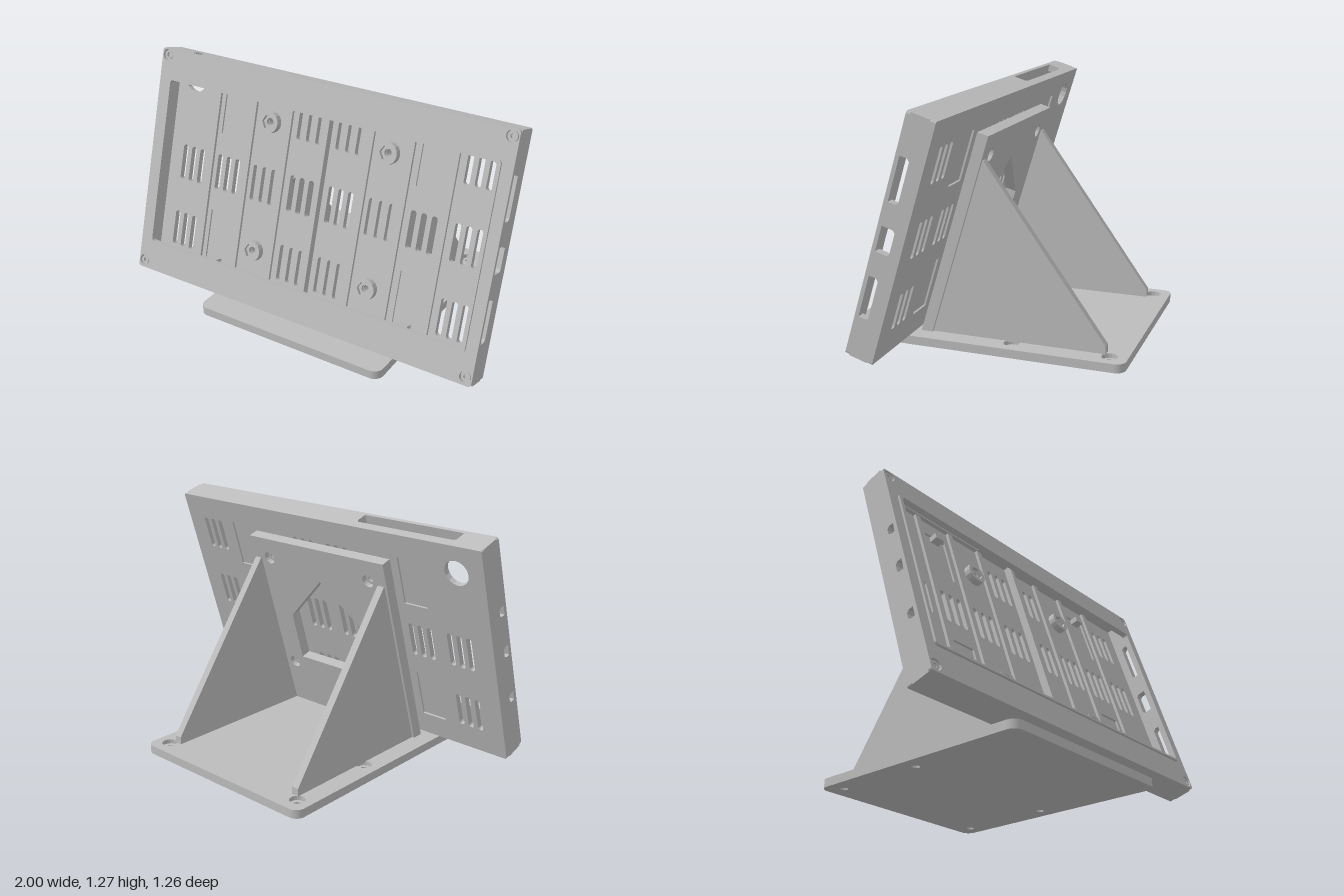
import * as THREE from 'three';

const grey = new THREE.MeshStandardMaterial({ color: 0xbbbbbb });
grey.name = 'grey plastic';

const TILT = 0.301;      // backward lean of the case
const H = 1.204;         // case height along its own plane
const BACK = 0.03;       // back plate thickness
const SEAM = 0.123;      // where the side walls meet the front frame
const FRONT = 0.143;     // front face of the frame
const WALL = 0.04;

function add(parent, name, geometry, x = 0, y = 0, z = 0) {
  const mesh = new THREE.Mesh(geometry, grey);
  mesh.name = name;
  mesh.position.set(x, y, z);
  parent.add(mesh);
  return mesh;
}

// Rounded rectangle outline between two corners
function roundRect(x0, y0, x1, y1, r, Type = THREE.Path) {
  const p = new Type();
  p.moveTo(x0 + r, y0);
  p.lineTo(x1 - r, y0);
  p.absarc(x1 - r, y0 + r, r, -Math.PI / 2, 0);
  p.lineTo(x1, y1 - r);
  p.absarc(x1 - r, y1 - r, r, 0, Math.PI / 2);
  p.lineTo(x0 + r, y1);
  p.absarc(x0 + r, y1 - r, r, Math.PI / 2, Math.PI);
  p.lineTo(x0, y0 + r);
  p.absarc(x0 + r, y0 + r, r, Math.PI, Math.PI * 1.5);
  return p;
}

function circle(x, y, r, Type = THREE.Path) {
  return new Type().absarc(x, y, r, 0, Math.PI * 2);
}

function polygon(points, Type = THREE.Path) {
  return new Type(points.map(([x, y]) => new THREE.Vector2(x, y)));
}

function hexagon(x, y, r) {
  return polygon([0, 1, 2, 3, 4, 5].map((i) => [
    x + r * Math.cos(i * Math.PI / 3), y + r * Math.sin(i * Math.PI / 3)]));
}

function slab(shape, depth, holes = []) {
  shape.holes.push(...holes);
  return new THREE.ExtrudeGeometry(shape, { depth, bevelEnabled: false, curveSegments: 8 });
}

// Wall strip with port notches [start, end, floor] cut in from the front edge
function wall(a, b, notches) {
  const c = 0.012;
  const pts = [[a, BACK], [b, BACK], [b, SEAM]];
  for (const [s, e, f] of notches) {
    pts.push([e, SEAM], [e, f + c], [e - c, f], [s + c, f], [s, f + c], [s, SEAM]);
  }
  pts.push([a, SEAM]);
  return slab(polygon(pts, THREE.Shape), WALL);
}

const bosses = [];
for (const x of [-0.342, 0.342]) for (const y of [0.255, 0.94]) bosses.push([x, y]);

function buildCase() {
  const g = new THREE.Group();
  g.name = 'case';

  // Back plate: vent slots, latch pockets, cable hole and screw holes
  const rows = [[0.14, 0.33], [0.51, 0.70], [0.884, 1.07]];
  const columns = [
    [-0.808, [0, 1]], [-0.575, [1]], [-0.345, [1]], [-0.115, [0, 1, 2]],
    [0.115, [0, 1, 2]], [0.345, [1]], [0.575, [1]], [0.808, [0, 1, 2]],
  ];
  const holes = [circle(-0.847, 1.06, 0.067)];
  for (const [x, used] of columns) {
    for (const r of used) {
      for (const dx of [-0.056, 0, 0.056]) {
        holes.push(roundRect(x + dx - 0.015, rows[r][0], x + dx + 0.015, rows[r][1], 0.0145));
      }
    }
  }
  for (const [x, y] of bosses) holes.push(circle(x, y, 0.018));
  for (const x of [-0.575, 0.575]) {
    for (const [y0, y1, tab] of [[0.13, 0.395, 0.13], [0.817, 1.08, 1.06]]) {
      holes.push(polygon([[x - 0.07, y0], [x + 0.07, y0], [x + 0.07, y1], [x - 0.07, y1]]));
      add(g, 'latchPocketFloor', new THREE.BoxGeometry(0.14, y1 - y0, 0.01), x, (y0 + y1) / 2, 0.015);
      add(g, 'latchTab', new THREE.BoxGeometry(0.055, 0.03, 0.045), x, tab, 0.04);
    }
  }
  add(g, 'backPlate', slab(roundRect(-1, 0, 1, H, 0.01, THREE.Shape), BACK, holes));

  // Low ribs between the columns and a taller one in the middle
  for (const x of [0.235, 0.455, 0.685]) {
    for (const s of [-1, 1]) {
      add(g, 'rib', new THREE.BoxGeometry(0.032, H - 2 * WALL, 0.015), s * x, H / 2, BACK + 0.0075);
    }
  }
  add(g, 'centreRib', new THREE.BoxGeometry(0.026, H - 2 * WALL, 0.04), 0, H / 2, BACK + 0.02);

  // Four walls with their port openings
  const X = new THREE.Vector3(1, 0, 0), Y = new THREE.Vector3(0, 1, 0), Z = new THREE.Vector3(0, 0, 1);
  const flat = new THREE.Matrix4().makeBasis(X, Z, Y.clone().negate());
  const upright = new THREE.Matrix4().makeBasis(Y, Z, X);
  const inner = 1 - WALL;
  add(g, 'bottomWall', wall(-inner, inner, []).applyMatrix4(flat), 0, WALL, 0);
  add(g, 'topWall', wall(-inner, inner, [[-0.83, -0.24, 0.05]].reverse()).applyMatrix4(flat), 0, H, 0);
  add(g, 'leftWall', wall(0, H, [[0.785, 1.004, 0.073], [0.541, 0.668, 0.054], [0.206, 0.418, 0.074]])
    .applyMatrix4(upright), inner, 0, 0);
  add(g, 'rightWall', wall(0, H, [[0.8, 0.85, 0.085], [0.57, 0.63, 0.085], [0.3, 0.35, 0.085]])
    .applyMatrix4(upright), -1, 0, 0);

  // Hex-pocket bosses
  for (const [x, y] of bosses) {
    add(g, 'boss', slab(circle(x, y, 0.056, THREE.Shape), 0.035, [hexagon(x, y, 0.038)]), 0, 0, BACK);
    add(g, 'nut', slab(circle(x, y, 0.04, THREE.Shape), 0.018, [circle(x, y, 0.02)]), 0, 0, BACK);
  }

  // Front frame with sunk corner screws and a raised lip round the window
  const window = () => roundRect(-0.922, 0.165, 0.922, 1.045, 0.015);
  const corners = [];
  for (const x of [-0.965, 0.965]) for (const y of [0.04, H - 0.034]) corners.push([x, y]);
  add(g, 'frontFrame', slab(roundRect(-1, 0, 1, H, 0.015, THREE.Shape), FRONT - SEAM,
    [window(), ...corners.map(([x, y]) => circle(x, y, 0.03))]), 0, 0, SEAM);
  for (const [x, y] of corners) {
    add(g, 'cornerScrew', slab(circle(x, y, 0.024, THREE.Shape), 0.02, [hexagon(x, y, 0.012)]), 0, 0, SEAM - 0.005);
    add(g, 'screwSeat', slab(circle(x, y, 0.0305, THREE.Shape), 0.01), 0, 0, SEAM - 0.009);
  }
  add(g, 'windowLip', slab(roundRect(-0.942, 0.152, 0.942, 1.058, 0.02, THREE.Shape), 0.011, [window()]), 0, 0, FRONT);
  return g;
}

function buildBracketPlate() {
  const g = new THREE.Group();
  g.name = 'bracketPlate';
  // Two layers give counterbored screw holes; the opening is house shaped
  for (const [z, depth, r] of [[-0.058, 0.028, 0.034], [-0.03, 0.03, 0.018]]) {
    const house = polygon([[-0.27, 0.31], [0.27, 0.31], [0.27, 0.59], [0, 0.86], [-0.27, 0.59]]);
    const outline = polygon([[-0.458, -0.035], [0.458, -0.035], [0.458, 1.058], [-0.458, 1.058]], THREE.Shape);
    add(g, 'mountingPlate', slab(outline, depth, [house, ...bosses.map(([x, y]) => circle(x, y, r))]), 0, 0, z);
  }
  return g;
}

export function createModel() {
  const model = new THREE.Group();
  model.name = 'tiltedDisplayStand';

  // Leaning case and its mounting plate
  const leaning = new THREE.Group();
  leaning.name = 'leaningAssembly';
  leaning.position.set(0, 0.078, 0.443);
  leaning.rotation.x = -TILT;
  leaning.add(buildCase(), buildBracketPlate());
  model.add(leaning);

  // Triangular gussets
  for (const x of [-0.445, 0.405]) {
    const profile = polygon([[-0.40, 0.04], [0.514, 0.04], [0.514, 0.084], [-0.106, 0.948], [-0.125, 0.948]], THREE.Shape);
    add(model, 'gusset', slab(profile, 0.04).rotateY(Math.PI / 2), x, 0, 0);
  }

  // Base plate with counterbored screw holes
  const base = new THREE.Group();
  base.name = 'base';
  for (const [y, depth, r] of [[0, 0.022, 0.02], [0.022, 0.023, 0.04]]) {
    const holes = [];
    for (const x of [-0.465, 0.465]) for (const z of [0.54, 0.04]) holes.push(circle(x, z, r));
    add(base, 'basePlate',
      slab(roundRect(-0.546, -0.63, 0.546, 0.63, 0.05, THREE.Shape), depth, holes).rotateX(-Math.PI / 2), 0, y, 0);
  }
  model.add(base);
  return model;
}
